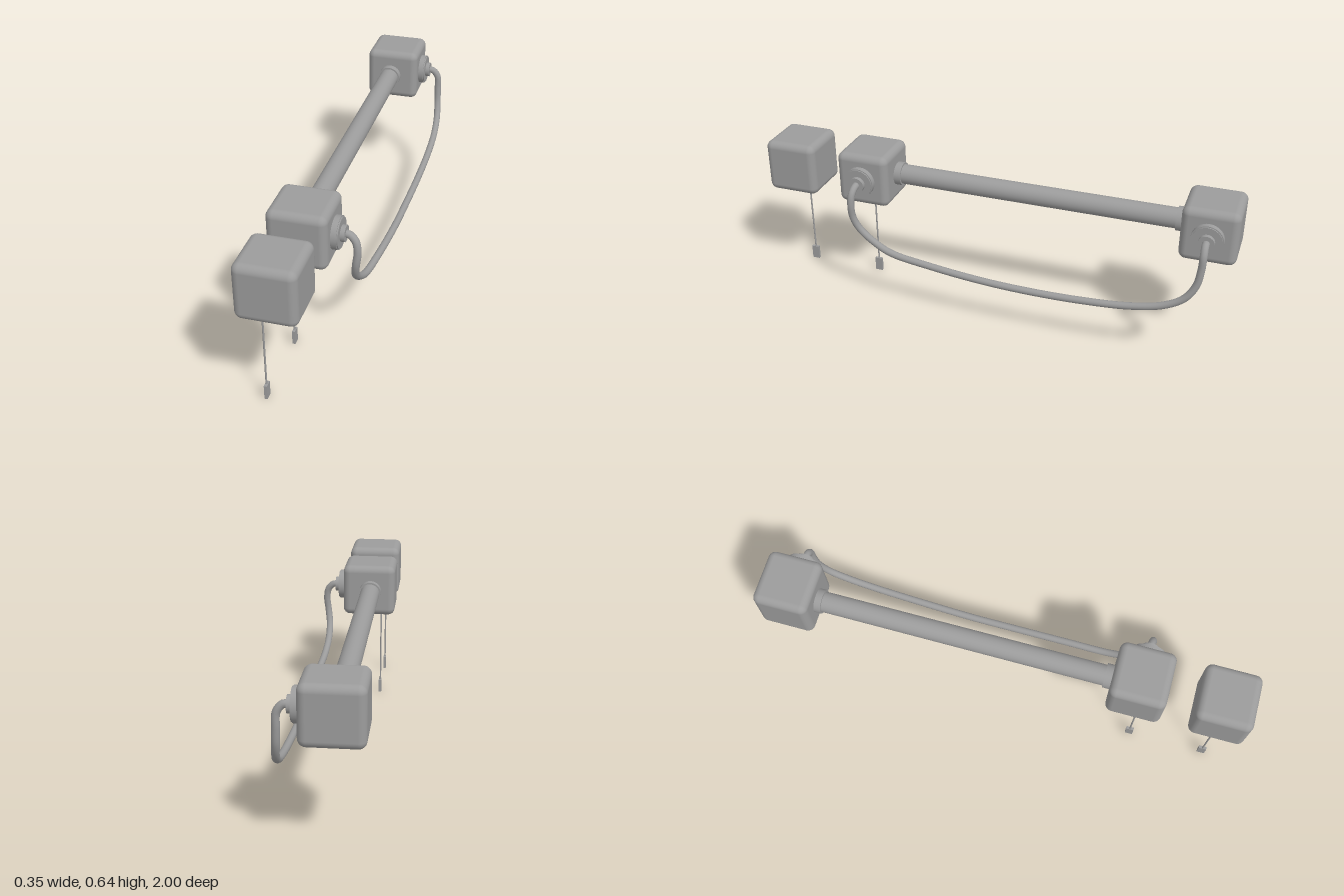
import * as THREE from 'three';
import { RoundedBoxGeometry } from 'three/addons/geometries/RoundedBoxGeometry.js';

export function createModel() {
  const model = new THREE.Group();
  const material = new THREE.MeshStandardMaterial({ color: 0x9c9c9c });

  const add = (name, geometry, x = 0, y = 0, z = 0) => {
    const mesh = new THREE.Mesh(geometry, material);
    mesh.name = name;
    mesh.position.set(x, y, z);
    model.add(mesh);
    return mesh;
  };
  const alongX = (name, r, x0, x1, y, z) => {
    add(name, new THREE.CylinderGeometry(r, r, x1 - x0, 32), (x0 + x1) / 2, y, z).rotation.z = -Math.PI / 2;
  };
  const alongZ = (name, r, z0, z1) => {
    add(name, new THREE.CylinderGeometry(r, r, z1 - z0, 32), -0.067, 0.53, (z0 + z1) / 2).rotation.x = Math.PI / 2;
  };

  // Three rounded housings
  const housings = { pullSwitchBox: 0.888, frontLampBox: 0.553, rearLampBox: -0.888 };
  for (const [name, z] of Object.entries(housings)) {
    add(name, new RoundedBoxGeometry(0.231, 0.225, 0.224, 6, 0.03), -0.0595, 0.53, z);
  }

  // Tube between the two lamp boxes, with a collar at each end
  alongZ('tube', 0.042, -0.79, 0.46);
  alongZ('frontCollar', 0.049, 0.412, 0.45);
  alongZ('rearCollar', 0.049, -0.785, -0.748);

  // Stepped cable sockets on the left sides
  for (const [side, z] of [['front', 0.558], ['rear', -0.885]]) {
    alongX(side + 'SocketFlange', 0.064, 0.05, 0.078, 0.53, z);
    alongX(side + 'SocketRim', 0.06, 0.07, 0.083, 0.53, z);
    alongX(side + 'SocketNeck', 0.032, 0.08, 0.1, 0.53, z);
  }

  // Hanging cable from socket to socket
  const path = [
    [0.09, 0.531, 0.558], [0.112, 0.528, 0.559], [0.135, 0.505, 0.563], [0.143, 0.46, 0.566],
    [0.136, 0.4, 0.564], [0.128, 0.345, 0.54], [0.126, 0.295, 0.485], [0.131, 0.255, 0.405],
    [0.14, 0.23, 0.22], [0.147, 0.212, 0], [0.15, 0.206, -0.2], [0.155, 0.213, -0.42],
    [0.158, 0.233, -0.63], [0.157, 0.265, -0.76], [0.152, 0.31, -0.835], [0.145, 0.37, -0.872],
    [0.141, 0.44, -0.884], [0.137, 0.5, -0.886], [0.115, 0.528, -0.885], [0.09, 0.531, -0.885],
  ].map((p) => new THREE.Vector3(...p));
  add('cable', new THREE.TubeGeometry(new THREE.CatmullRomCurve3(path), 160, 0.0148, 14));

  // Pull cords with flat tags
  for (const [side, z] of [['front', 0.896], ['rear', 0.576]]) {
    add(side + 'PullCord', new THREE.CylinderGeometry(0.0035, 0.0035, 0.38, 10), -0.108, 0.24, z);
    add(side + 'PullTag', new THREE.BoxGeometry(0.012, 0.06, 0.032), -0.107, 0.03, z);
  }
  return model;
}
